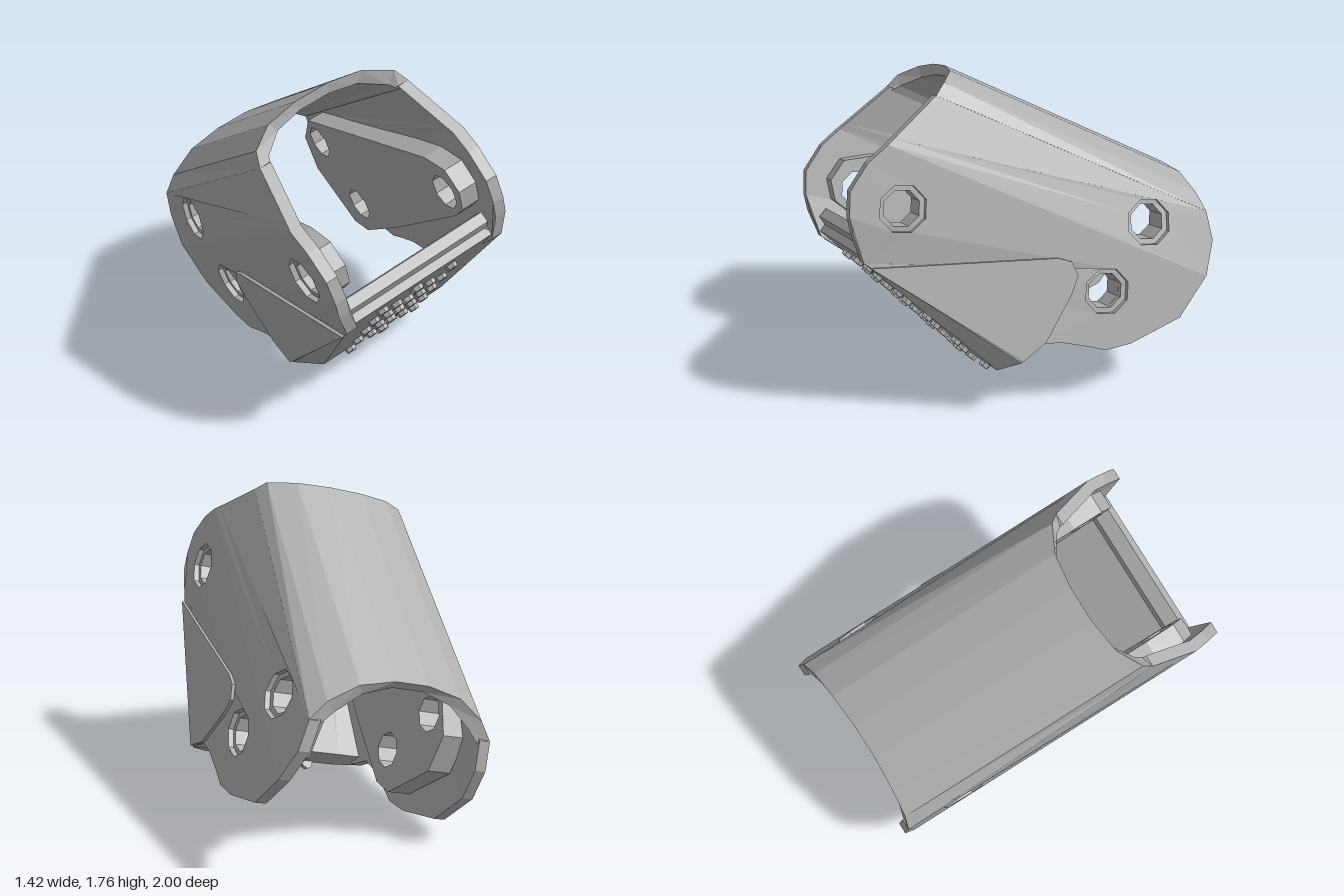
import * as THREE from 'three';

const gray = new THREE.MeshStandardMaterial({ color: 0xb0b0b0, side: THREE.DoubleSide, flatShading: true });
gray.name = 'plain gray';

// Round holes as [z, y]
const FRONT_HOLE = [0.72, 0.92], BACK_HOLE = [-0.63, 0.63], LOW_HOLE = [-0.34, 0.3];

// Height of the roof ridge along z
const ridge = (z) => 1.419 + 0.575 * z;

// How far a wall point leans inward: a slight taper to the front, more near the roof and the chin
function inset(z, y) {
  const nearRoof = Math.max(0, 0.6 - (ridge(z) - y)) * (0.185 + 0.065 * z);
  const nearChin = z > 0.9 && y < 0.75 ? 0.03 : 0;
  return 0.027 * (z + 0.5) + nearRoof + nearChin;
}

function named(geometry, name) {
  const mesh = new THREE.Mesh(geometry, gray);
  mesh.name = name;
  return mesh;
}

function circlePath(z, y, r, sides = 8) {
  const pts = [];
  for (let i = 0; i < sides; i++) {
    const a = ((i + 0.3) / sides) * Math.PI * 2;
    pts.push(new THREE.Vector2(-z + r * Math.cos(a), y + r * Math.sin(a)));
  }
  return new THREE.Path(pts);
}

// Side outline of [z, y] points, extruded across x from x0 to x1
function sidePlate(outline, holes, radius, x0, x1) {
  const shape = new THREE.Shape(outline.map(([z, y]) => new THREE.Vector2(-z, y)));
  for (const [z, y] of holes) shape.holes.push(circlePath(z, y, radius));
  const g = new THREE.ExtrudeGeometry(shape, { depth: x1 - x0, bevelEnabled: false });
  return g.rotateY(Math.PI / 2).translate(x0, 0, 0);
}

// Leans a wall plate inward by the inset rule
function lean(g, side) {
  const p = g.attributes.position;
  for (let i = 0; i < p.count; i++) p.setX(i, p.getX(i) - side * inset(p.getZ(i), p.getY(i)));
  g.computeVertexNormals();
  return g;
}

// Joins two loops (outer run followed by the returning inner run) and caps both ends
function loft(a, b) {
  const n = a.length, pos = [];
  const quad = (p, q, r, s) => pos.push(...p, ...q, ...r, ...p, ...r, ...s);
  for (let i = 0; i < n; i++) {
    const j = (i + 1) % n;
    quad(a[i], a[j], b[j], b[i]);
  }
  for (let i = 0; i < n / 2 - 1; i++) {
    quad(a[i], a[n - 1 - i], a[n - 2 - i], a[i + 1]);
    quad(b[i], b[i + 1], b[n - 2 - i], b[n - 1 - i]);
  }
  const g = new THREE.BufferGeometry();
  g.setAttribute('position', new THREE.Float32BufferAttribute(pos, 3));
  g.computeVertexNormals();
  return g;
}

const mirrorRun = (half) => [...half.map(([x, y, z]) => [-x, y, z]), ...half.slice().reverse()];

// Roof cross-section from rows of [x, drop below ridge, z]
function roofSection(outer, inner) {
  const at = ([x, drop, z]) => [x, ridge(z) - drop, z];
  return [...mirrorRun(outer.map(at)), ...mirrorRun(inner.map(at)).reverse()];
}

export function createModel() {
  const root = new THREE.Group();
  const shell = new THREE.Group();
  shell.name = 'shell';
  shell.position.set(0.185, 0.19, 0);
  shell.rotation.z = THREE.MathUtils.degToRad(16.9);
  root.add(shell);

  // Arched roof, narrower at the front rim
  const frontRim = roofSection(
    [[0.463, 0.22, 0.455], [0.43, 0.127, 0.395], [0.29, 0.035, 0.31], [0.1, 0, 0.28]],
    [[0.4, 0.24, 0.45], [0.375, 0.19, 0.4], [0.25, 0.095, 0.31], [0.09, 0.06, 0.28]],
  );
  const backRim = roofSection(
    [[0.537, 0.22, -0.985], [0.46, 0.13, -0.97], [0.3, 0.035, -0.96], [0.1, 0, -0.95]],
    [[0.47, 0.25, -0.975], [0.4, 0.19, -0.96], [0.26, 0.095, -0.94], [0.09, 0.06, -0.92]],
  );
  shell.add(named(loft(frontRim, backRim), 'roof'));

  // Side outlines as [z, y]
  const upperWall = [[0.455, 1.46], [0.72, 1.28], [0.758, 1.255], [-0.93, 0.284], [-1.0, 0.47], [-0.985, 0.632]];
  const lowerWall = [
    [0.758, 1.255], [0.87, 1.18], [0.98, 1.05], [1.0, 0.92], [0.99, 0.82], [0.95, 0.67],
    [0.18, 0.0], [0.05, 0.08], [-0.05, 0.07], [-0.2, 0.02], [-0.3, -0.02], [-0.45, -0.01],
    [-0.75, 0.08], [-0.93, 0.284],
  ];
  const pad = [
    [0.05, 0.32], [-0.33, 0.1], [-0.47, 0.1], [-0.78, 0.36], [-0.82, 0.58], [-0.7, 0.76],
    [0.6, 1.09], [0.78, 1.09], [0.87, 0.99], [0.86, 0.87], [0.78, 0.79],
  ];
  const skirt = [
    [0.92, 0.64], [-0.08, 0.53], [-0.15, 0.5], [-0.18, 0.42], [-0.13, 0.32], [0.04, 0.09], [0.18, 0.01],
  ];

  for (const side of [1, -1]) {
    const label = side > 0 ? 'left' : 'right';
    const plate = (outline, holes, radius, x0, x1) =>
      side > 0 ? sidePlate(outline, holes, radius, x0, x1) : sidePlate(outline, holes, radius, -x1, -x0);
    const addWall = (name, ...args) => shell.add(named(lean(plate(...args), side), label + name));
    // Wide holes outside and narrow ones inside leave a stepped seat
    for (const [name, outline, holes] of [
      ['Upper', upperWall, [BACK_HOLE]],
      ['Lower', lowerWall, [FRONT_HOLE, LOW_HOLE]],
    ]) {
      addWall(name + 'OuterWall', outline, holes, 0.13, 0.54, 0.57);
      addWall(name + 'InnerWall', outline, holes, 0.1, 0.505, 0.54);
    }
    addWall('Skirt', skirt, [], 0, 0.57, 0.588);
    // Thick pad on the inner face
    shell.add(named(plate(pad, [FRONT_HOLE, BACK_HOLE, LOW_HOLE], 0.1, 0.36, 0.5), label + 'InnerPad'));
  }

  // Sloping front plate with chamfered sides and a lip at the top
  const top = [
    [0.5, 0.67, 0.95], [0.46, 0.7, 0.95], [-0.46, 0.7, 0.95], [-0.5, 0.67, 0.95],
    [-0.46, 0.75, 0.9], [-0.4, 0.76, 0.9], [0.4, 0.76, 0.9], [0.46, 0.75, 0.9],
  ];
  const bottom = [
    [0.552, 0, 0.18], [0.42, -0.05, 0.28], [-0.42, -0.05, 0.28], [-0.552, 0, 0.18],
    [-0.49, 0.07, 0.13], [-0.36, 0.06, 0.16], [0.36, 0.06, 0.16], [0.49, 0.07, 0.13],
  ];
  shell.add(named(loft(top, bottom), 'frontPlate'));
  const lip = [[0.92, 0.735], [0.945, 0.785], [0.9, 0.825], [0.83, 0.77], [0.83, 0.7]];
  shell.add(named(sidePlate(lip, [], 0, -0.44, 0.44), 'frontLip'));

  // Staggered grip studs on the front plate
  const studs = new THREE.Group();
  studs.name = 'gripStuds';
  const normal = new THREE.Vector3(0, -0.67, 0.75).normalize();
  const turn = new THREE.Quaternion().setFromUnitVectors(new THREE.Vector3(0, 1, 0), normal);
  for (let row = 0; row < 9; row++) {
    const y = 0.59 - row * 0.081;
    const z = 0.28 + (y + 0.05) * (0.67 / 0.75);
    for (const x of row % 2 ? [-0.115, 0.105] : [-0.235, -0.012, 0.215]) {
      const big = x === -0.012;
      const r = big ? 0.045 : 0.037;
      const stud = named(new THREE.CylinderGeometry(r * 0.8, r, 0.04, big ? 8 : 6), 'gripStud');
      stud.quaternion.copy(turn);
      stud.position.set(x, y, z).addScaledVector(normal, 0.005);
      studs.add(stud);
    }
  }
  shell.add(studs);

  return root;
}
